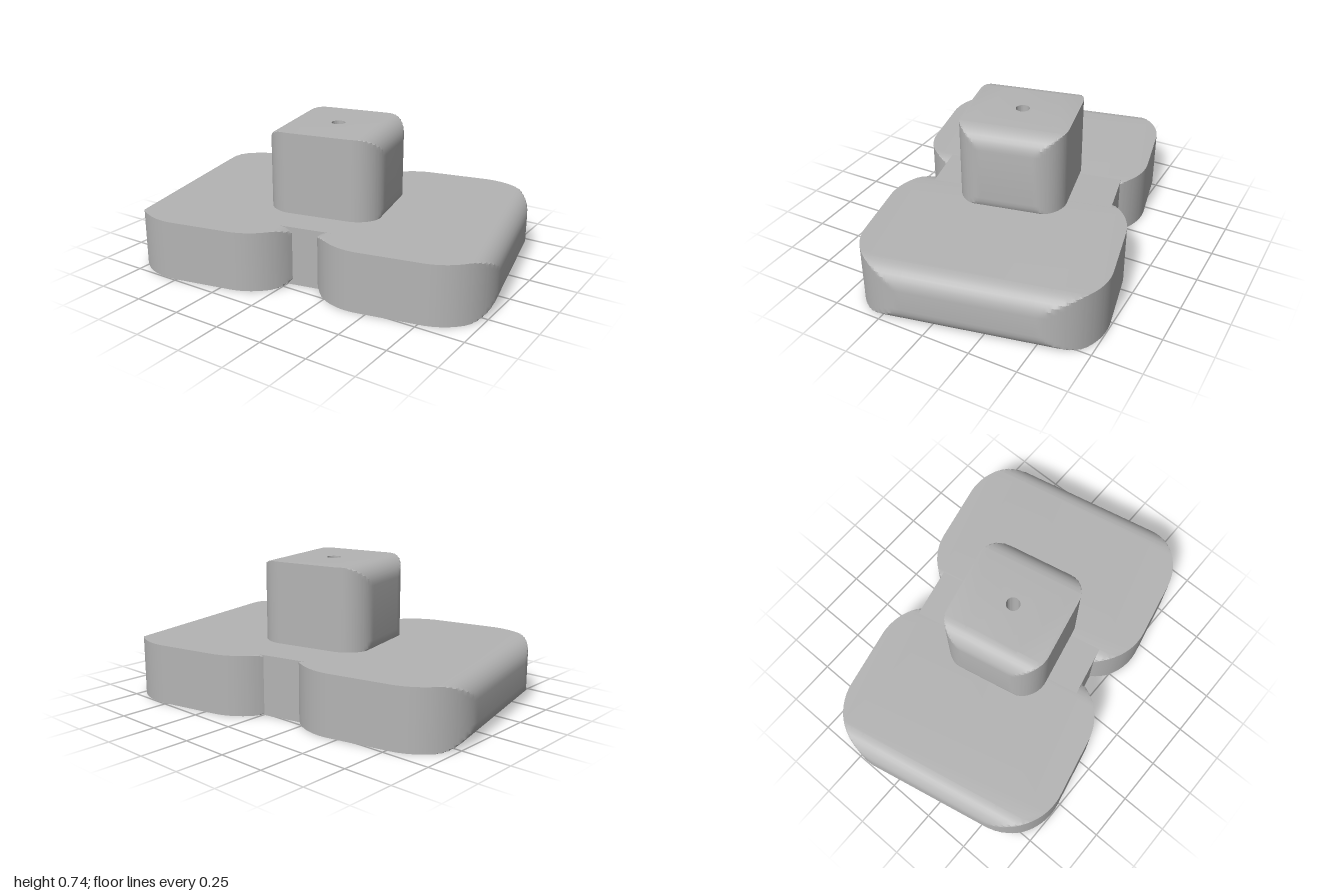
import * as THREE from 'three';
import { toCreasedNormals } from 'three/addons/utils/BufferGeometryUtils.js';

const HOLE_RADIUS = 0.036;

// Plan outline with rounded corners, centred on the origin
function roundedPlan(hw, hd, r) {
  const s = new THREE.Shape();
  s.absarc(hw - r, hd - r, r, 0, Math.PI / 2);
  s.absarc(-hw + r, hd - r, r, Math.PI / 2, Math.PI);
  s.absarc(-hw + r, -hd + r, r, Math.PI, Math.PI * 1.5);
  s.absarc(hw - r, -hd + r, r, Math.PI * 1.5, Math.PI * 2);
  s.closePath();
  return s;
}

function addHole(shape) {
  const hole = new THREE.Path();
  hole.absarc(0, 0, HOLE_RADIUS, 0, Math.PI * 2, true);
  shape.holes.push(hole);
}

// Block rounded in plan whose two x sides are also rounded along their top and bottom edges
function roundedBlock(shape, hw, height, edge) {
  const levels = [];
  for (let i = 0; i <= 8; i++) levels.push(edge * (1 - Math.cos((i * Math.PI) / 16)));
  for (let i = 8; i >= 0; i--) levels.push(height - levels[i]);
  const steps = levels.length - 1;
  const geo = new THREE.ExtrudeGeometry(shape, { depth: 1, steps, bevelEnabled: false, curveSegments: 24 });
  const p = geo.attributes.position;
  for (let i = 0; i < p.count; i++) {
    const y = levels[Math.round(p.getZ(i) * steps)];
    const d = Math.min(y, height - y, edge);
    const w = hw - edge + Math.sqrt(Math.max(0, edge * edge - (edge - d) ** 2));
    p.setX(i, THREE.MathUtils.clamp(p.getX(i), -w, w));
    p.setZ(i, y);
  }
  geo.rotateX(-Math.PI / 2);
  return toCreasedNormals(geo, 0.4);
}

export function createModel() {
  const model = new THREE.Group();
  model.name = 'steppedBlock';
  const grey = new THREE.MeshStandardMaterial({ color: 0xb4b4b4 });
  grey.name = 'grey';

  const add = (name, geo, x, y) => {
    const mesh = new THREE.Mesh(geo, grey);
    mesh.name = name;
    mesh.position.set(x, y, 0);
    model.add(mesh);
  };

  // Two wide base pads
  for (const side of [1, -1]) {
    const pad = roundedBlock(roundedPlan(0.455, 0.619, 0.3), 0.455, 0.31, 0.1);
    add(side > 0 ? 'leftPad' : 'rightPad', pad, side * 0.492, 0);
  }

  // Bridge joining the pads, set a little towards the back
  const plan = new THREE.Shape();
  plan.moveTo(-0.14, -0.451);
  plan.lineTo(0.14, -0.451);
  plan.lineTo(0.14, 0.507);
  plan.lineTo(-0.14, 0.507);
  plan.closePath();
  addHole(plan);
  const bridge = new THREE.ExtrudeGeometry(plan, { depth: 0.31, bevelEnabled: false, curveSegments: 24 });
  bridge.rotateX(-Math.PI / 2);
  add('bridge', toCreasedNormals(bridge, 0.4), 0, 0);

  // Upper block, sunk slightly into the base
  const top = roundedPlan(0.307, 0.28, 0.15);
  addHole(top);
  add('upperBlock', roundedBlock(top, 0.307, 0.478, 0.1), 0, 0.257);

  model.rotation.y = THREE.MathUtils.degToRad(12);
  return model;
}
